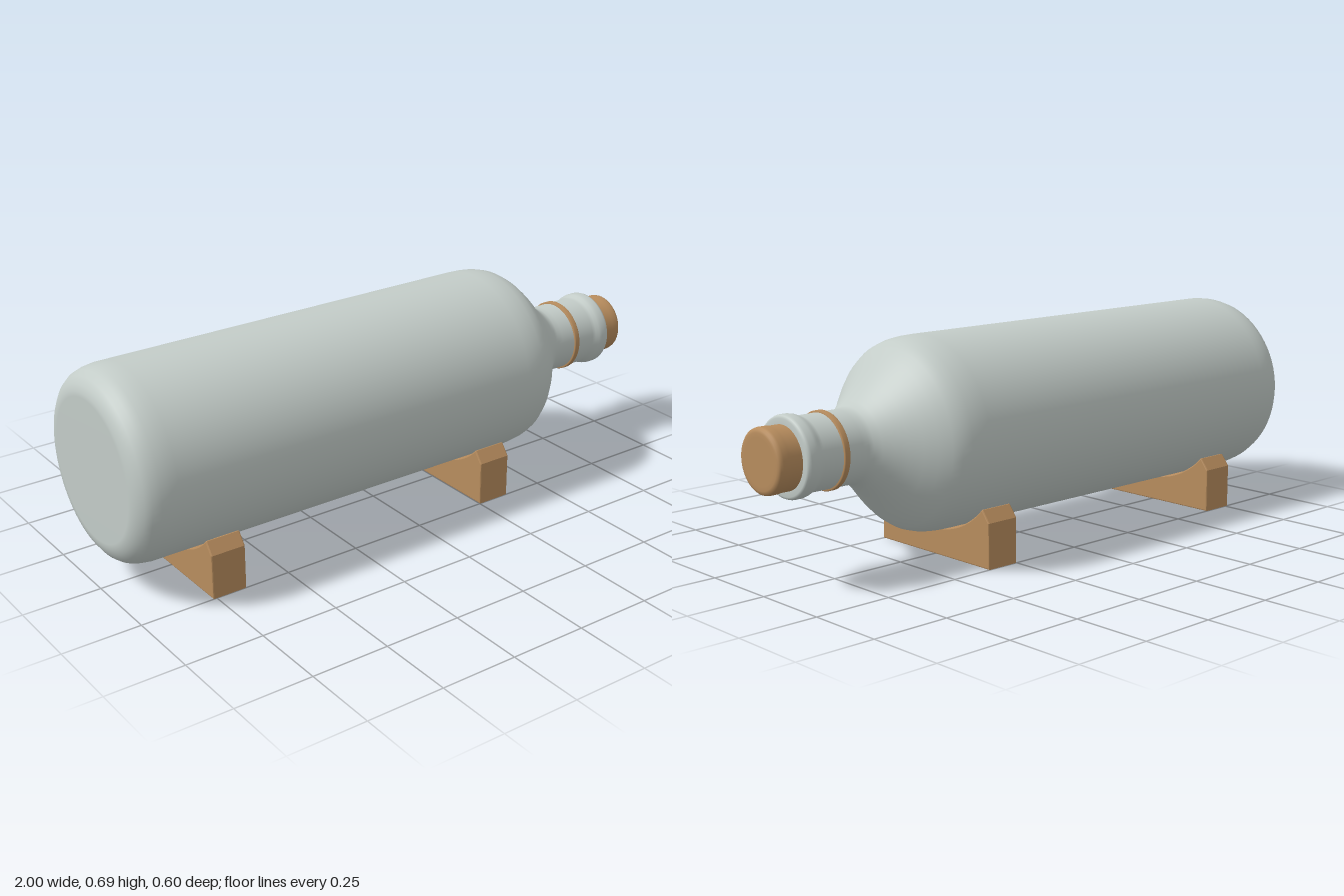
import * as THREE from 'three';

const AXIS_Y = 0.39;

// Turn a profile of [position along x, radius] pairs around the bottle's lying axis
function turned(name, profile, material) {
  const points = profile.map(([x, r]) => new THREE.Vector2(r, x));
  const mesh = new THREE.Mesh(new THREE.LatheGeometry(points, 72), material);
  mesh.name = name;
  mesh.rotation.z = -Math.PI / 2;
  mesh.position.y = AXIS_Y;
  return mesh;
}

// Wooden block with chamfered shoulders and a round saddle cut to fit the bottle
function cradleGeometry(width) {
  const radius = 0.303, top = 0.18, bevel = 0.004;
  const angle = Math.asin((top - AXIS_Y) / radius);
  const shape = new THREE.Shape();
  shape.moveTo(-0.25, 0);
  shape.lineTo(0.25, 0);
  shape.lineTo(0.25, 0.143);
  shape.lineTo(0.222, top);
  shape.absarc(0, AXIS_Y, radius, angle, -Math.PI - angle, true);
  shape.lineTo(-0.222, top);
  shape.lineTo(-0.25, 0.143);
  shape.closePath();
  const geometry = new THREE.ExtrudeGeometry(shape, {
    depth: width - 2 * bevel, curveSegments: 32,
    bevelThickness: bevel, bevelSize: bevel, bevelOffset: -bevel, bevelSegments: 2,
  });
  geometry.translate(0, 0, bevel - width / 2);
  return geometry.rotateY(Math.PI / 2);
}

export function createModel() {
  const glass = new THREE.MeshStandardMaterial({ color: 0xc3ccc8 });
  glass.name = 'pale grey glass';
  const wood = new THREE.MeshStandardMaterial({ color: 0xb88d5e });
  wood.name = 'tan wood';

  const model = new THREE.Group();
  model.name = 'bottleOnCradles';

  // Bottle: base, body, shoulder, neck and lip
  model.add(turned('bottle', [
    [-1, 0], [-1, 0.22], [-0.999, 0.235], [-0.992, 0.255], [-0.978, 0.275],
    [-0.96, 0.288], [-0.935, 0.296], [-0.905, 0.3], [-0.88, 0.3],
    [0.4, 0.3], [0.43, 0.299], [0.465, 0.295], [0.495, 0.286], [0.52, 0.27],
    [0.55, 0.243], [0.58, 0.212], [0.61, 0.18], [0.64, 0.152], [0.665, 0.131],
    [0.685, 0.117], [0.7, 0.113], [0.72, 0.112], [0.855, 0.112], [0.868, 0.115],
    [0.878, 0.121], [0.89, 0.123], [0.908, 0.123], [0.916, 0.12], [0.92, 0.113],
    [0.92, 0.09], [0.915, 0],
  ], glass));

  // Thin band around the neck
  model.add(turned('neckBand', [
    [0.77, 0.108], [0.77, 0.116], [0.773, 0.118], [0.787, 0.118], [0.79, 0.116], [0.79, 0.108],
  ], wood));

  // Cork stopper
  model.add(turned('cork', [
    [0.9, 0], [0.9, 0.095], [0.92, 0.096], [0.955, 0.096], [0.965, 0.098], [0.985, 0.098],
    [0.993, 0.096], [0.998, 0.091], [1, 0.083], [1, 0.07], [1, 0],
  ], wood));

  // Two cradles under the body
  const geometry = cradleGeometry(0.115);
  for (const [name, x] of [['baseCradle', -0.705], ['shoulderCradle', 0.307]]) {
    const cradle = new THREE.Mesh(geometry, wood);
    cradle.name = name;
    cradle.position.x = x;
    model.add(cradle);
  }
  return model;
}
